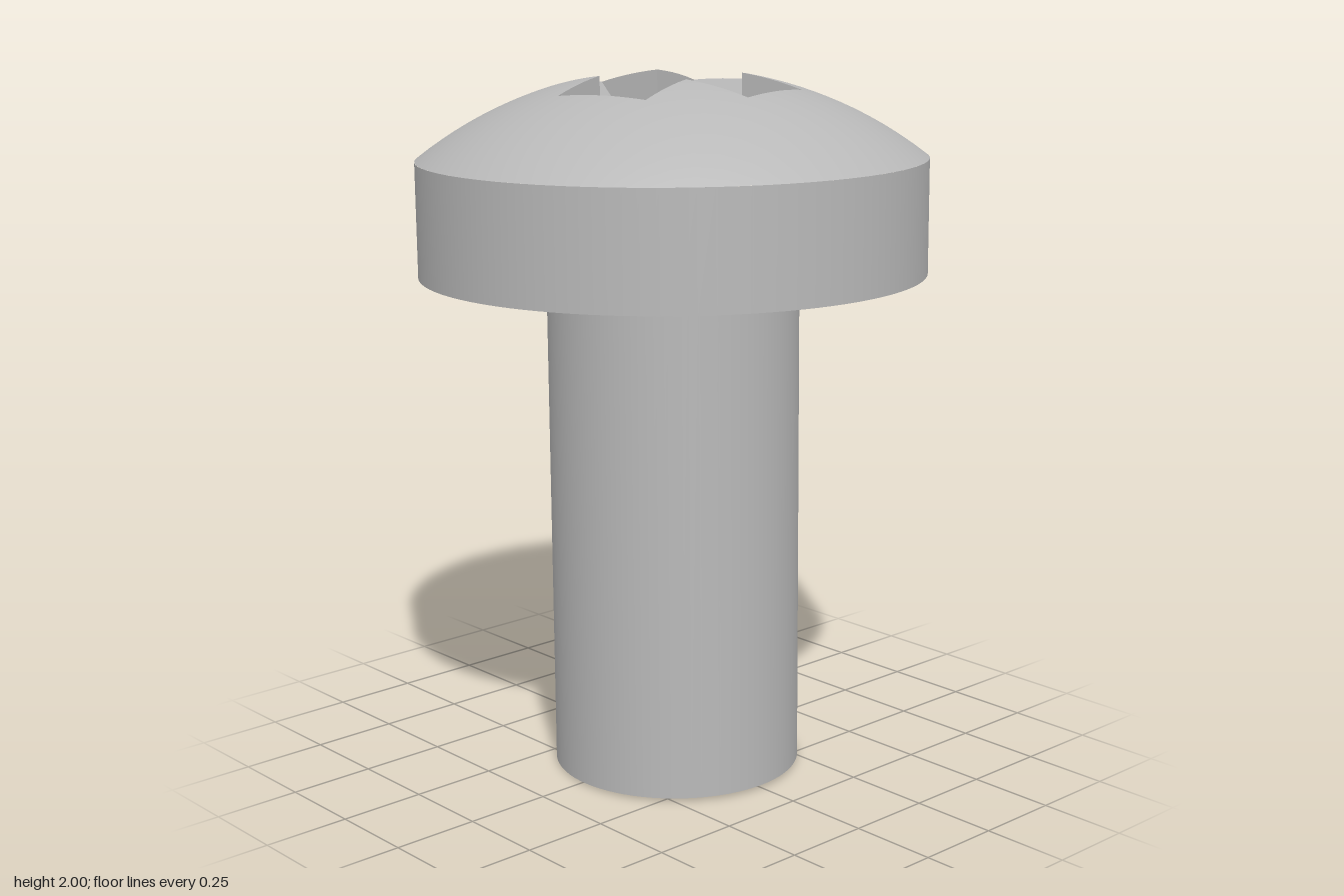
import * as THREE from 'three';

const HEAD_R = 0.715, SHAFT_R = 0.357;
const HEAD_BOTTOM = 1.444, RIM_Y = 1.766, DOME_H = 0.245;
const SPHERE_R = (HEAD_R ** 2 + DOME_H ** 2) / (2 * DOME_H);
const SPHERE_Y = RIM_Y + DOME_H - SPHERE_R;

// Cross recess: half arm width, arm reach, floor slope
const W = 0.142, REACH = 0.336, SLOPE = 1.25;

const domeY = (x, z) => SPHERE_Y + Math.sqrt(SPHERE_R ** 2 - x * x - z * z);
const EDGE_Y = domeY(W, REACH);
const floorY = (v) => EDGE_Y - SLOPE * (REACH - v);
const onDome = (x, z) => new THREE.Vector3(x, domeY(x, z), z);

// Point where a sloping arm floor runs out through the dome
function armEnd(u) {
  let v = REACH;
  for (let i = 0; i < 20; i++) v = REACH + (domeY(u, v) - EDGE_Y) / SLOPE;
  return onDome(u, v);
}

// Rim of one arm, split into left wall, end and right wall
function armRim() {
  const left = [], end = [], right = [];
  for (let i = 0; i <= 5; i++) {
    const v = W + (REACH - W) * i / 5;
    left.push(onDome(-W, v));
    right.unshift(onDome(W, v));
  }
  for (let i = 0; i <= 12; i++) end.push(armEnd(-W + 2 * W * i / 12));
  return { left, end, right };
}

const quarter = (p, k) => p.clone().applyAxisAngle(new THREE.Vector3(0, 1, 0), k * Math.PI / 2);

// Domed top, lofted from the cross outline out to the round rim
function domeGeometry() {
  const { left, end, right } = armRim();
  const arm = [...left, ...end.slice(1), ...right.slice(1, -1)];
  const inner = [];
  for (let k = 0; k < 4; k++) arm.forEach((p) => inner.push(quarter(p, k)));
  const n = inner.length, rings = 12, pos = [], nor = [], idx = [];
  for (let j = 0; j <= rings; j++) {
    for (const p of inner) {
      const r0 = Math.hypot(p.x, p.z);
      const s = (r0 + (HEAD_R - r0) * j / rings) / r0;
      const q = onDome(p.x * s, p.z * s);
      pos.push(q.x, q.y, q.z);
      nor.push(q.x / SPHERE_R, (q.y - SPHERE_Y) / SPHERE_R, q.z / SPHERE_R);
    }
  }
  for (let j = 0; j < rings; j++) {
    for (let i = 0; i < n; i++) {
      const a = j * n + i, b = j * n + (i + 1) % n;
      idx.push(a, a + n, b + n, a, b + n, b);
    }
  }
  const g = new THREE.BufferGeometry();
  g.setAttribute('position', new THREE.Float32BufferAttribute(pos, 3));
  g.setAttribute('normal', new THREE.Float32BufferAttribute(nor, 3));
  g.setIndex(idx);
  return g;
}

// Flat-faced cross recess with sloping arms and a faceted centre
function recessGeometry() {
  const pos = [];
  const { left, end, right } = armRim();
  const cl = new THREE.Vector3(-W, floorY(W), W);
  const cr = new THREE.Vector3(W, floorY(W), W);
  const mid = new THREE.Vector3(0, floorY(0), W);
  const centre = new THREE.Vector3(0, floorY(0), 0);
  for (let k = 0; k < 4; k++) {
    const fan = (pts) => {
      for (let i = 1; i < pts.length - 1; i++) {
        for (const p of [pts[0], pts[i], pts[i + 1]]) pos.push(...quarter(p, k).toArray());
      }
    };
    fan([cl, ...end, cr]);      // arm floor
    fan([cl, ...left]);         // side walls
    fan([cr, ...right]);
    fan([mid, cl, cr]);         // step down to the centre
    fan([cl, mid, centre]);     // centre valley
    fan([mid, cr, centre]);
  }
  const g = new THREE.BufferGeometry();
  g.setAttribute('position', new THREE.Float32BufferAttribute(pos, 3));
  g.computeVertexNormals();
  return g;
}

export function createModel() {
  const steel = new THREE.MeshStandardMaterial({ color: 0xb8b8b8 });
  steel.name = 'steelGrey';

  const screw = new THREE.Group();
  screw.name = 'screw';
  const add = (name, geometry) => {
    const mesh = new THREE.Mesh(geometry, steel);
    mesh.name = name;
    screw.add(mesh);
    return mesh;
  };

  add('shaft', new THREE.CylinderGeometry(SHAFT_R, SHAFT_R, HEAD_BOTTOM, 80))
    .position.y = HEAD_BOTTOM / 2;

  add('headSide', new THREE.CylinderGeometry(HEAD_R, HEAD_R, RIM_Y - HEAD_BOTTOM, 96, 1, true))
    .position.y = (RIM_Y + HEAD_BOTTOM) / 2;

  const under = add('headUnderside', new THREE.RingGeometry(SHAFT_R - 0.01, HEAD_R, 96));
  under.rotation.x = Math.PI / 2;
  under.position.y = HEAD_BOTTOM;

  add('headDome', domeGeometry()).rotation.y = 0.245;
  add('crossRecess', recessGeometry()).rotation.y = 0.245;

  // The whole screw leans very slightly
  screw.rotation.z = 0.0125;
  screw.position.set(0.017, 0.0045, 0);

  const model = new THREE.Group();
  model.name = 'model';
  model.add(screw);
  return model;
}
